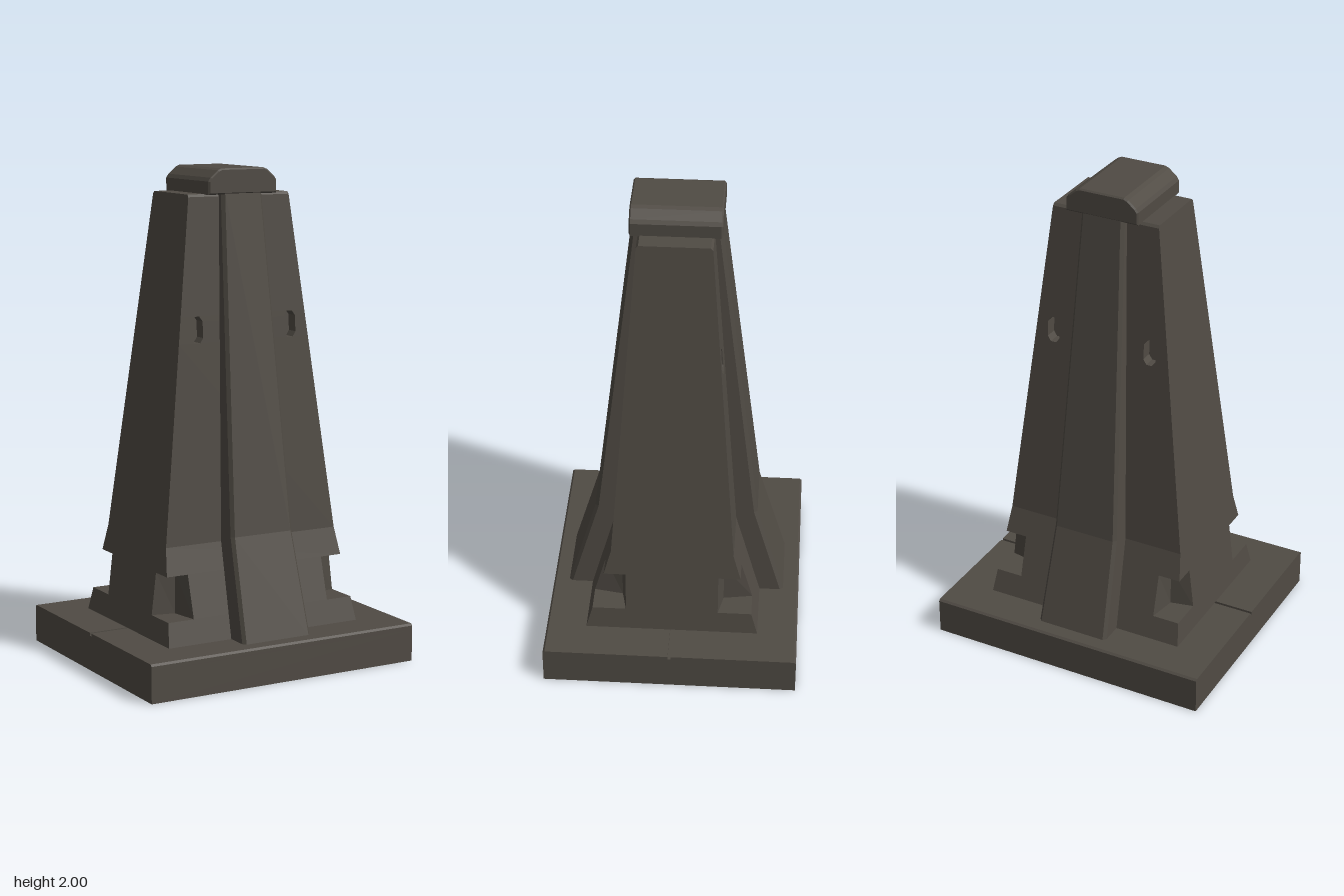
import * as THREE from 'three';

const concrete = new THREE.MeshStandardMaterial({ color: 0x504b44 });
concrete.name = 'dark grey brown';

// Piecewise linear value at height y from [y, value] pairs
function at(table, y) {
  let i = 1;
  while (i < table.length - 1 && y > table[i][0]) i++;
  const [y0, v0] = table[i - 1], [y1, v1] = table[i];
  return v0 + (v1 - v0) * (y - y0) / (y1 - y0);
}

// Full outline from the points of the +x +z quarter, ordered from +x to +z
function mirror4(q) {
  const r = [...q].reverse();
  return [...q, ...r.map(([x, z]) => [-x, z]), ...q.map(([x, z]) => [-x, -z]), ...r.map(([x, z]) => [x, -z])];
}

// Capped flat-faced solid through the outlines section(y) at the given heights
function loft(levels, section) {
  const pos = [];
  const rings = levels.map(y => section(y).map(([x, z]) => [x, y, z]));
  const n = rings[0].length;
  for (let k = 0; k < rings.length - 1; k++) {
    const a = rings[k], b = rings[k + 1];
    for (let i = 0; i < n; i++) {
      const j = (i + 1) % n;
      pos.push(...a[i], ...b[i], ...b[j], ...a[i], ...b[j], ...a[j]);
    }
  }
  const cap = (ring, up) => {
    const flat = ring.map(p => new THREE.Vector2(p[0], p[2]));
    for (const [a, b, c] of THREE.ShapeUtils.triangulateShape(flat, [])) {
      pos.push(...ring[a], ...ring[up ? c : b], ...ring[up ? b : c]);
    }
  };
  cap(rings[0], false);
  cap(rings[rings.length - 1], true);
  const g = new THREE.BufferGeometry();
  g.setAttribute('position', new THREE.Float32BufferAttribute(pos, 3));
  g.computeVertexNormals();
  return g;
}

// Extruded polygon centred along z
function prism(points, depth, bevel = 0) {
  const g = new THREE.ExtrudeGeometry(new THREE.Shape(points.map(p => new THREE.Vector2(...p))), {
    depth: depth - 2 * bevel, bevelEnabled: bevel > 0, bevelSize: bevel,
    bevelThickness: bevel, bevelOffset: -bevel, bevelSegments: 1,
  });
  return g.translate(0, 0, -depth / 2 + bevel);
}

export function createModel() {
  const root = new THREE.Group();
  root.name = 'taperedBarrierPost';
  const add = (parent, name, geometry) => {
    const m = new THREE.Mesh(geometry, concrete);
    m.name = name;
    parent.add(m);
    return m;
  };

  // Base plate: chamfered long edges and a fine centre groove, hollow beneath
  const base = new THREE.Group();
  base.name = 'base';
  root.add(base);
  const W = 1.2, D = 1.04, H = 0.155, ceil = 0.13, wall = 0.02;
  const slab = prism([
    [-D / 2, ceil], [D / 2, ceil], [D / 2, H - 0.008], [D / 2 - 0.008, H],
    [0.006, H], [0.006, H - 0.012], [-0.006, H - 0.012], [-0.006, H],
    [-D / 2 + 0.008, H], [-D / 2, H - 0.008],
  ], W);
  add(base, 'basePlate', slab.rotateY(Math.PI / 2));
  for (const s of [-1, 1]) {
    add(base, 'rimLong', new THREE.BoxGeometry(W, ceil, wall)).position.set(0, ceil / 2, s * (D - wall) / 2);
    add(base, 'rimShort', new THREE.BoxGeometry(wall, ceil, D - 2 * wall)).position.set(s * (W - wall) / 2, ceil / 2, 0);
    // Stiffening ribs under the plate
    add(base, 'ribLong', new THREE.BoxGeometry(W - wall, 0.09, 0.02)).position.set(0, 0.085, s * D / 6);
    add(base, 'ribShort', new THREE.BoxGeometry(0.02, 0.09, D - wall)).position.set(s * W / 6, 0.085, 0);
  }

  // Tapered body, flared at the foot
  const bodyX = y => at([[H, 0.435], [1.9, 0.228]], y);
  const bodyZ = y => at([[H, 0.355], [0.53, 0.25], [1.9, 0.145]], y);
  const plain = y => mirror4([[bodyX(y), bodyZ(y)]]);
  const body = new THREE.Group();
  body.name = 'body';
  root.add(body);
  add(body, 'bodyFoot', loft([H, 0.25], plain));

  // Hand pockets cut out of the four corners
  add(body, 'bodyCornerPockets', loft([0.25, 0.42], y => mirror4([
    [bodyX(y), 0.19], [0.33, 0.21], [0.31, bodyZ(y)],
  ])));
  add(body, 'bodyMiddle', loft([0.42, 0.53, 1.32], plain));

  // Four small slots sunk into the front and back
  const slotHalf = y => at([[1.32, 0.012], [1.34, 0.026], [1.405, 0.026], [1.425, 0.012]], y);
  add(body, 'bodySlots', loft([1.32, 1.34, 1.405, 1.425], y => {
    const z = bodyZ(y), w = slotHalf(y), c = 0.213;
    return mirror4([[bodyX(y), z], [c + w, z], [c + w, z - 0.05], [c - w, z - 0.05], [c - w, z]]);
  }));

  // Upper body with a narrow bevel at the top
  add(body, 'bodyTop', loft([1.425, 1.89, 1.9], y => {
    const b = y > 1.895 ? 0.008 : 0;
    return mirror4([[bodyX(y), bodyZ(y) - b]]);
  }));

  // Raised spine down the front and back
  const spineX = y => at([[H, 0.155], [1.9, 0.092]], y);
  const spineZ = y => at([[H, 0.455], [0.56, 0.337], [1.9, 0.175]], y);
  add(root, 'spine', loft([H, 0.56, 1.905], y => {
    const w = spineX(y), s = spineZ(y);
    return mirror4([[w, s - 0.014], [w - 0.012, s]]);
  }));

  // Chamfered cap
  add(root, 'cap', prism([
    [-0.155, 1.898], [0.155, 1.898], [0.155, 1.95], [0.145, 1.965], [0.112, 1.993], [0.095, 2],
    [-0.095, 2], [-0.112, 1.993], [-0.145, 1.965], [-0.155, 1.95],
  ], 0.356, 0.006));

  return root;
}
